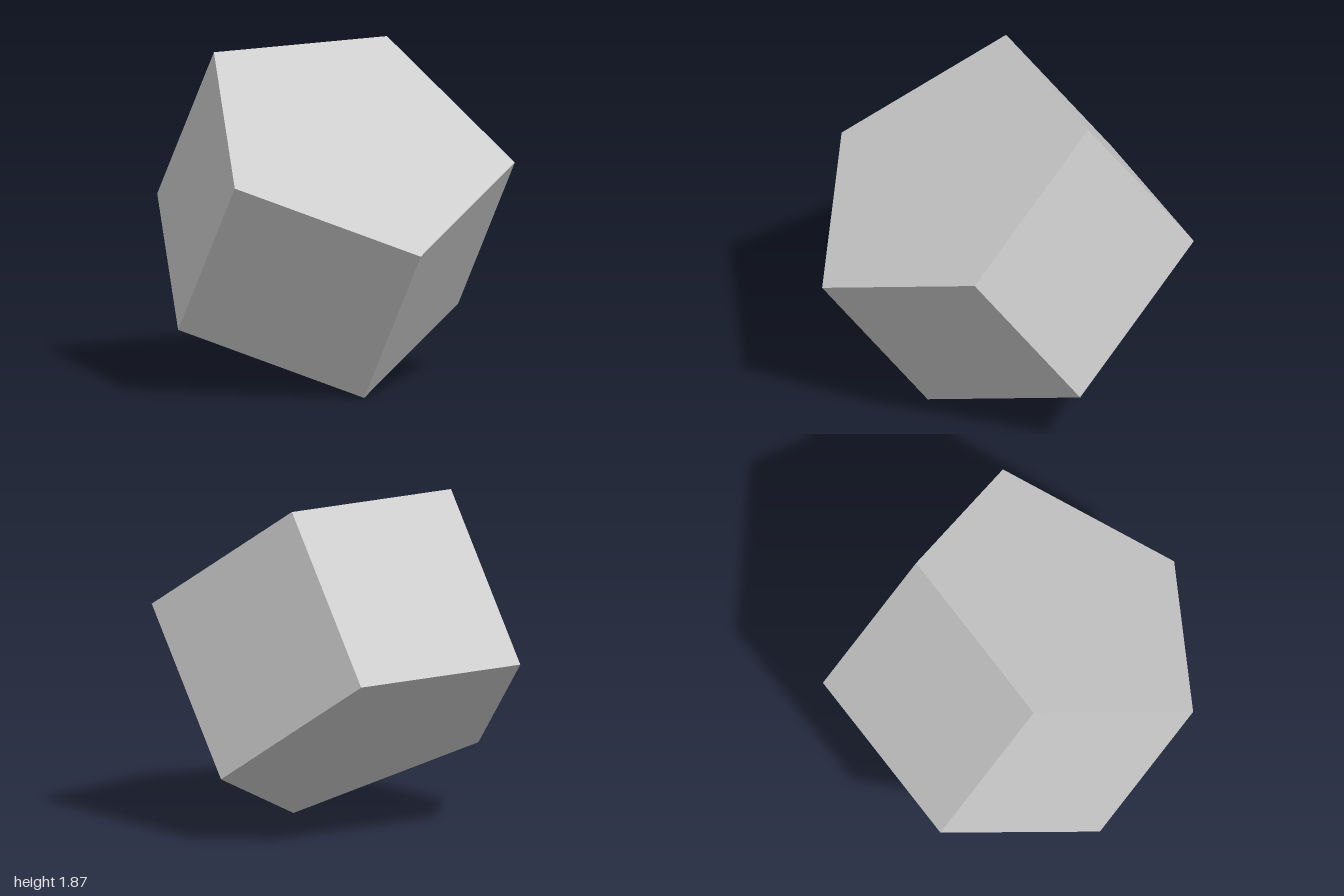
import * as THREE from 'three';

export function createModel() {
  const group = new THREE.Group();
  group.name = 'tiltedPentagonalPrism';

  // Regular pentagonal prism with square sides: every edge has the same length
  const edge = 1.09;
  const radius = edge / (2 * Math.sin(Math.PI / 5));
  const prism = new THREE.Mesh(
    new THREE.CylinderGeometry(radius, radius, edge, 5),
    new THREE.MeshStandardMaterial({ color: 0xcccccc, flatShading: true })
  );
  prism.name = 'pentagonalPrism';

  // Tilt: the axis leans forward, one corner of the pentagon points at the lowest vertex
  const axis = new THREE.Vector3(0.325, 0.885, 0.55).normalize();
  const corner = new THREE.Vector3(0.382, -0.544, 0.65);
  const side = new THREE.Vector3().crossVectors(axis, corner).normalize();
  corner.crossVectors(side, axis);
  prism.quaternion.setFromRotationMatrix(new THREE.Matrix4().makeBasis(side, axis, corner));
  prism.position.set(-0.054, 0.986, 0.075);

  group.add(prism);
  return group;
}
